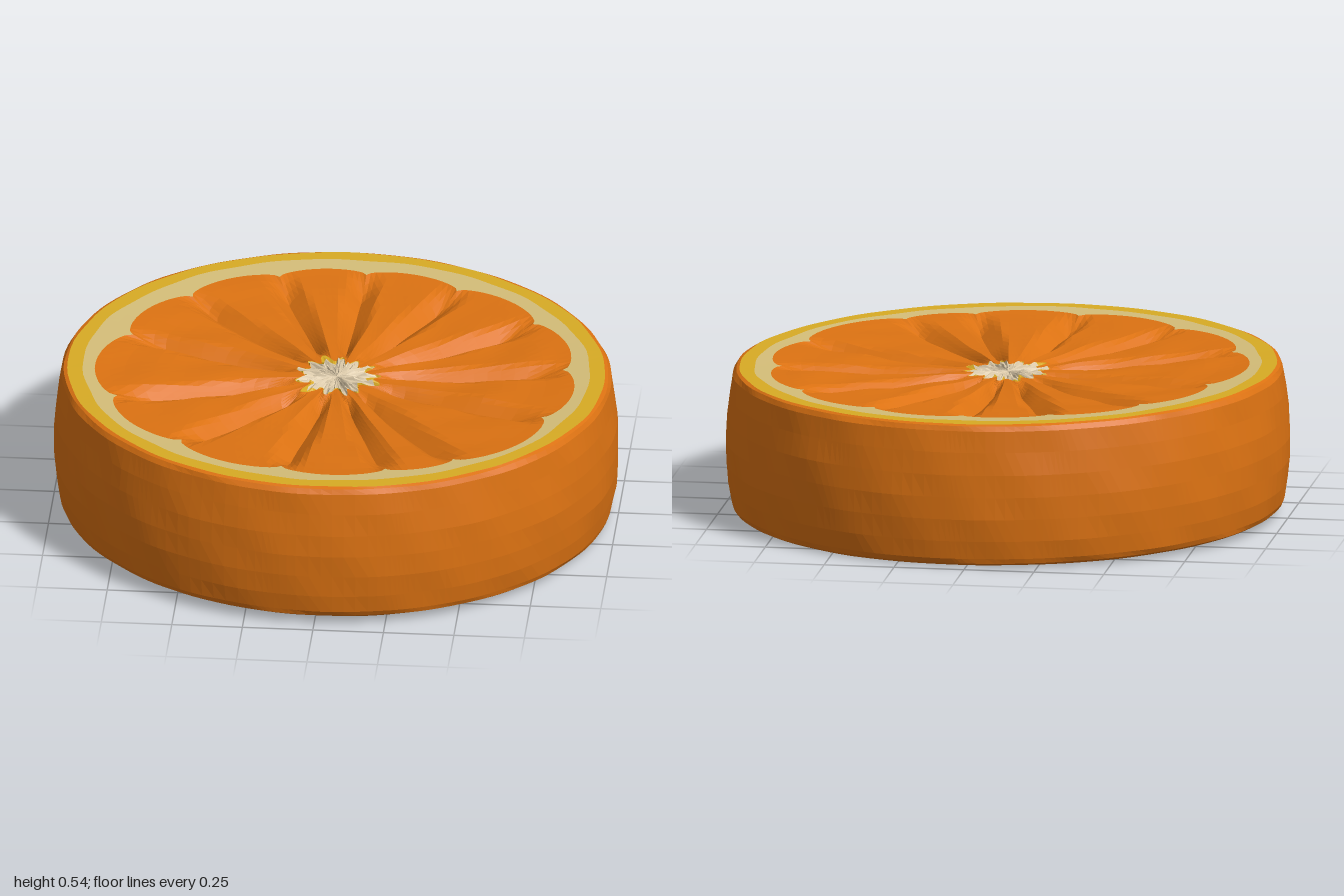
import * as THREE from 'three';

const mat = (name, color) => {
  const m = new THREE.MeshStandardMaterial({ color, flatShading: true });
  m.name = name;
  return m;
};

// membrane directions (degrees, from +x towards +z) and how far out each one reaches
const ANGLES = [-135.3, -109.4, -87, -62, -34.6, -6.9, 21.4, 55, 73, 99.4, 129.1, 159.6, 196.6];
const REACH = [0.78, 0.785, 0.79, 0.787, 0.8, 0.8, 0.806, 0.815, 0.805, 0.797, 0.79, 0.805, 0.77];
const STEPS = [0, 0.04, 0.09, 0.15, 0.22, 0.32, 0.41, 0.5, 0.59, 0.68, 0.78, 0.85, 0.91, 0.96];

// every sample around the slice knows its segment, so membranes stay crisp
const samples = [];
ANGLES.forEach((a, k) => {
  const next = (k + 1) % ANGLES.length;
  const span = (k + 1 < ANGLES.length ? ANGLES[next] : ANGLES[0] + 360) - a;
  for (const t of STEPS) {
    samples.push({
      k, t,
      angle: THREE.MathUtils.degToRad(a + span * t),
      span: THREE.MathUtils.degToRad(span),
      reach: THREE.MathUtils.lerp(REACH[k], REACH[next], t),
    });
  }
});

// gentle repeatable unevenness
const wobble = (a, s) => (Math.sin(a * 7 + s * 3.1) + Math.sin(a * 13 + s * 5.7) + Math.sin(a * 23 + s * 1.9)) / 3;

// outlines, as a radius for each sample
const fleshEdge = (s) => s.reach + 0.1 * s.span * Math.sqrt(Math.sin(Math.PI * s.t));
const pithEdge = (s) => 0.125 + 0.025 * Math.cos(s.t * Math.PI * 2) + 0.012 * wobble(s.angle, 2);
const fleckEdge = (s) => pithEdge(s) + 0.004 + 0.028 * Math.max(0, Math.cos(s.angle * 3 - 0.5)) ** 4;
const creamEdge = (s) => 0.896 + 0.006 * wobble(s.angle, 1);
const yellowEdge = (s) => 0.95 + 0.004 * wobble(s.angle, 4);

// the cut face dips slightly towards the middle
const dish = (r) => 0.527 - 0.027 * Math.max(0, 1 - (r / 0.9) ** 2);

// flesh height: V-shaped grooves along the membranes, fading at both ends
function fleshHeight(s, r) {
  const arc = s.span * r;
  const distance = Math.min(s.t, 1 - s.t) * arc;
  const width = Math.min(0.06, 0.3 * arc);
  const fade = Math.min(1, (fleshEdge(s) - r) / 0.12, Math.max(0, (r - fleckEdge(s)) / 0.08));
  const groove = 0.045 * Math.max(0, 1 - distance / width) * fade;
  return dish(r) - groove + 0.005 * wobble(s.angle * 0.6, r * 4) * fade;
}

// closed band through rings; each ring gives [radius, height] for a sample
function band(name, material, rings) {
  const n = samples.length, pos = [], index = [];
  for (const ring of rings) {
    for (const s of samples) {
      const [r, y] = ring(s);
      const x = r * Math.cos(s.angle), z = r * Math.sin(s.angle) * 0.985;
      pos.push(x, y - 0.011 * x + 0.013 * z, z); // slice is cut a little askew
    }
  }
  for (let j = 0; j < rings.length - 1; j++) {
    for (let i = 0; i < n; i++) {
      const a = j * n + i, b = j * n + ((i + 1) % n);
      index.push(a, b, a + n, b, b + n, a + n);
    }
  }
  const geo = new THREE.BufferGeometry();
  geo.setAttribute('position', new THREE.Float32BufferAttribute(pos, 3));
  geo.setIndex(index);
  geo.computeVertexNormals();
  const mesh = new THREE.Mesh(geo, material);
  mesh.name = name;
  return mesh;
}

// rings between two outlines
const between = (inner, outer, count, height) =>
  Array.from({ length: count + 1 }, (_, j) => (s) => {
    const r = THREE.MathUtils.lerp(inner(s), outer(s), j / count);
    return [r, height(s, r)];
  });

export function createModel() {
  const orange = mat('orange', 0xdc7212);
  const yellow = mat('zest yellow', 0xd8ab24);
  const cream = mat('cream', 0xd4bd78);
  const pale = mat('pale pith', 0xdccaaa);
  const group = new THREE.Group();
  group.name = 'citrusSlice';
  const flat = (s, r) => dish(r);

  // bumpy star of pith in the middle
  const pithHeight = (s, r) => dish(r) + 0.012 * wobble(s.angle, r * 30) * Math.min(1, r / 0.05);
  group.add(band('centrePith', pale, between(() => 0, pithEdge, 4, pithHeight)));
  group.add(band('pithFlecks', yellow, between(pithEdge, fleckEdge, 1,
    (s, r) => (r > pithEdge(s) ? dish(r) : pithHeight(s, r)))));

  // juicy segments, then the pith and zest rings
  group.add(band('segments', orange, between(fleckEdge, fleshEdge, 14, fleshHeight)));
  group.add(band('pithRing', cream, between(fleshEdge, creamEdge, 2, flat)));
  group.add(band('zestRing', yellow, between(creamEdge, yellowEdge, 1, flat)));

  // peel: bulging side wall with rounded edges, closing underneath
  const profile = [
    [0.962, 0.522], [0.972, 0.505], [0.983, 0.43], [0.993, 0.35], [0.997, 0.27],
    [0.996, 0.19], [0.989, 0.11], [0.978, 0.045], [0.97, 0.027], [0.955, 0.018],
  ];
  const peel = profile.map(([r, y], j) => (s) => [r + 0.003 * wobble(s.angle, j * 0.8), y]);
  group.add(band('peel', orange, [(s) => [yellowEdge(s), dish(0.95)], ...peel]));
  group.add(band('underside', orange, [peel[peel.length - 1], () => [0.5, 0.018], () => [0.035, 0.018]]));
  group.add(band('undersidePith', cream, [() => [0.035, 0.018], () => [0, 0.018]]));
  return group;
}
